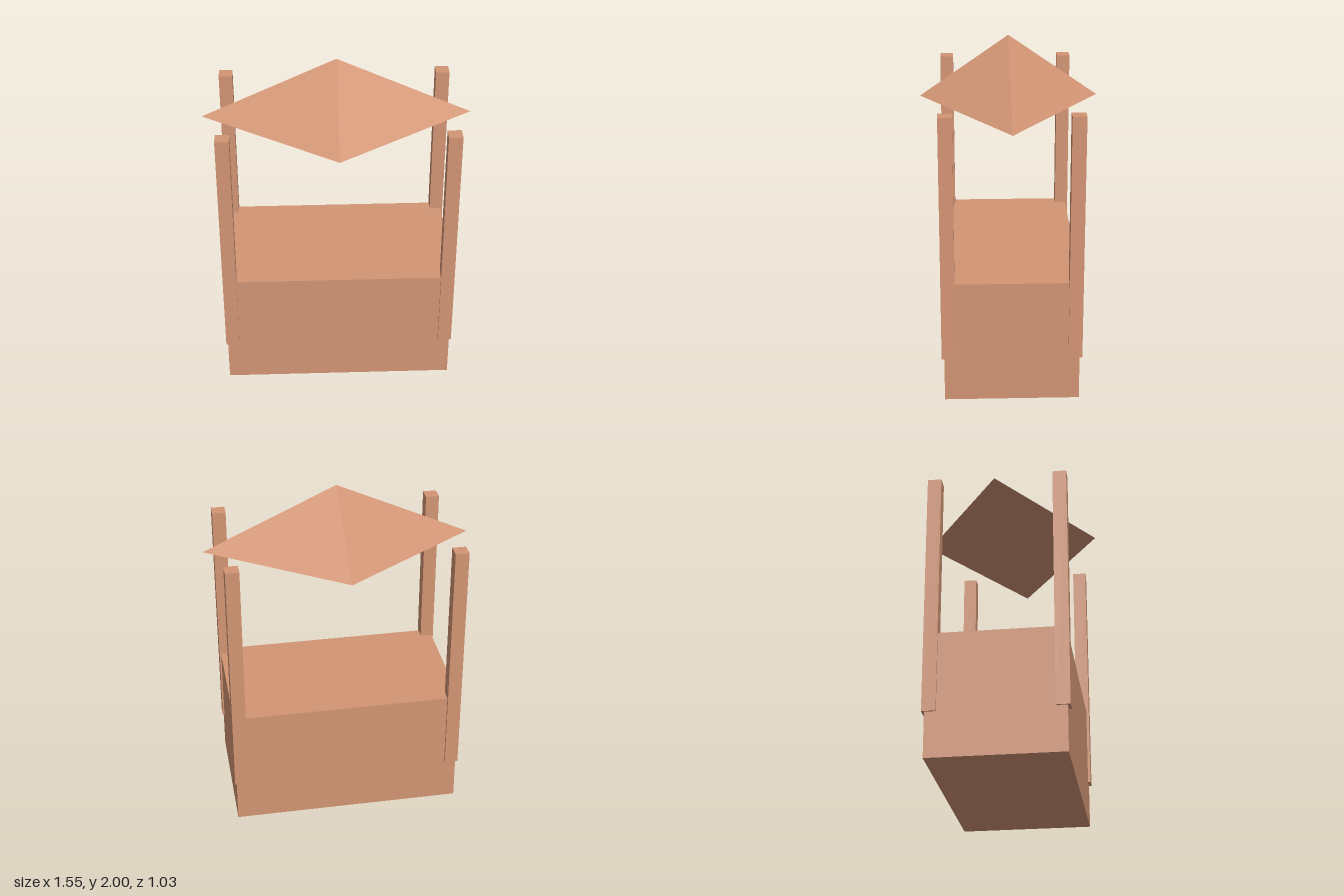
import * as THREE from 'three';

export function createModel() {
  const group = new THREE.Group();
  const clay = new THREE.MeshStandardMaterial({ color: 0xd29474, flatShading: true });

  const add = (name, geometry, x, y, z) => {
    const mesh = new THREE.Mesh(geometry, clay);
    mesh.name = name;
    mesh.position.set(x, y, z);
    group.add(mesh);
    return mesh;
  };

  // Solid counter block
  add('counter', new THREE.BoxGeometry(1.35, 0.73, 0.78), 0, 0.365, 0);

  // Four corner posts, starting part-way up the counter
  const postGeometry = new THREE.BoxGeometry(0.08, 1.45, 0.08);
  for (const [side, sx] of [['Left', 1], ['Right', -1]]) {
    for (const [end, sz] of [['front', 1], ['back', -1]]) {
      add(`${end}${side}Post`, postGeometry, sx * 0.645, 0.99, sz * 0.365);
    }
  }

  // Four-sided roof with its corners on the x and z axes, stretched along x
  const roofGeometry = new THREE.ConeGeometry(1, 0.36, 4).scale(0.775, 1, 0.517);
  add('roof', roofGeometry, 0, 1.82, 0);

  return group;
}
